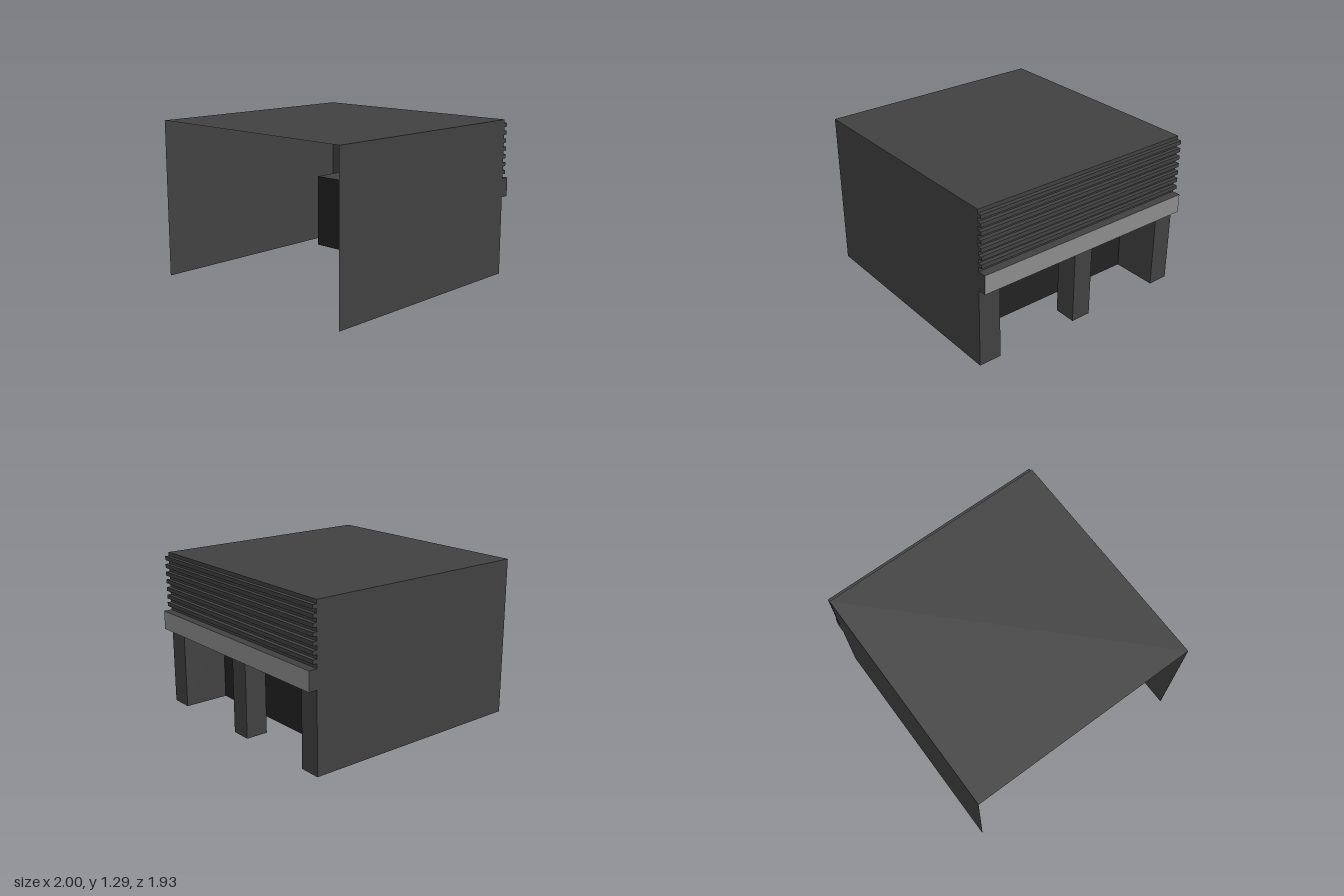
import * as THREE from 'three';

export function createModel() {
  const model = new THREE.Group();
  const make = (name, color, side = THREE.FrontSide) => {
    const m = new THREE.MeshStandardMaterial({ color, side });
    m.name = name;
    return m;
  };
  const wallMat = make('charcoal', 0x414141, THREE.DoubleSide);
  const trimMat = make('trimGrey', 0x8d8d8d);
  const darkMat = make('darkRecess', 0x222222, THREE.DoubleSide);

  const X0 = -1, X1 = 0.93, XR = 0.55; // open side, street side, recess back
  const H = 1.29, LINTEL = 0.65, Z = 0.965;
  const ZA = 0.78, ZB = -0.79; // recess sides

  const add = (name, geo, mat, x, y, z) => {
    const mesh = new THREE.Mesh(geo, mat);
    mesh.name = name;
    mesh.position.set(x, y, z);
    model.add(mesh);
    return mesh;
  };
  // Box given by its min and max corners
  const box = (name, mat, [ax, ay, az], [bx, by, bz]) =>
    add(name, new THREE.BoxGeometry(bx - ax, by - ay, bz - az), mat,
      (ax + bx) / 2, (ay + by) / 2, (az + bz) / 2);
  // Thin sheets facing x, y or z
  const sheetX = (name, mat, x, y0, y1, z0, z1) =>
    add(name, new THREE.PlaneGeometry(z1 - z0, y1 - y0).rotateY(Math.PI / 2), mat,
      x, (y0 + y1) / 2, (z0 + z1) / 2);
  const sheetY = (name, mat, y, x0, x1, z0, z1, up) =>
    add(name, new THREE.PlaneGeometry(x1 - x0, z1 - z0).rotateX(up ? -Math.PI / 2 : Math.PI / 2),
      mat, (x0 + x1) / 2, y, (z0 + z1) / 2);
  const sheetZ = (name, mat, z, x0, x1, y0, y1, front) =>
    add(name, new THREE.PlaneGeometry(x1 - x0, y1 - y0).rotateY(front ? 0 : Math.PI), mat,
      (x0 + x1) / 2, (y0 + y1) / 2, z);

  // Shell, open at the bottom and on the -x side
  sheetY('roof', wallMat, H, X0, X1, -Z, Z, true);
  sheetZ('frontWall', wallMat, Z, X0, X1, 0, H, true);
  sheetZ('backWall', wallMat, -Z, X0, X1, 0, H, false);
  sheetX('upperFacade', wallMat, X1, LINTEL, H, -Z, Z);
  sheetX('frontPier', wallMat, X1, 0, LINTEL, ZA, Z);
  sheetX('backPier', wallMat, X1, 0, LINTEL, -Z, ZB);

  // Recessed bay
  sheetZ('recessFrontSide', wallMat, ZA, XR, X1, 0, LINTEL, false);
  sheetZ('recessBackSide', wallMat, ZB, XR, X1, 0, LINTEL, true);
  sheetY('recessCeiling', wallMat, LINTEL, XR, X1, ZB, ZA, false);
  sheetX('recessBackPanel', darkMat, XR, 0, LINTEL, ZB, ZA);
  box('middlePillar', wallMat, [X1 - 0.185, 0, -0.1], [X1, LINTEL, 0.07]);

  // Fascia band with a lighter outer face
  box('fasciaBand', [trimMat, wallMat, wallMat, wallMat, wallMat, wallMat],
    [X1, LINTEL, -Z], [1, 0.805, Z]);

  // Horizontal slats
  for (let i = 0; i < 7; i++) {
    const top = 1.26 - i * 0.0645;
    box('slat', wallMat, [X1, top - 0.032, -Z], [0.963, top, Z]);
  }
  return model;
}
